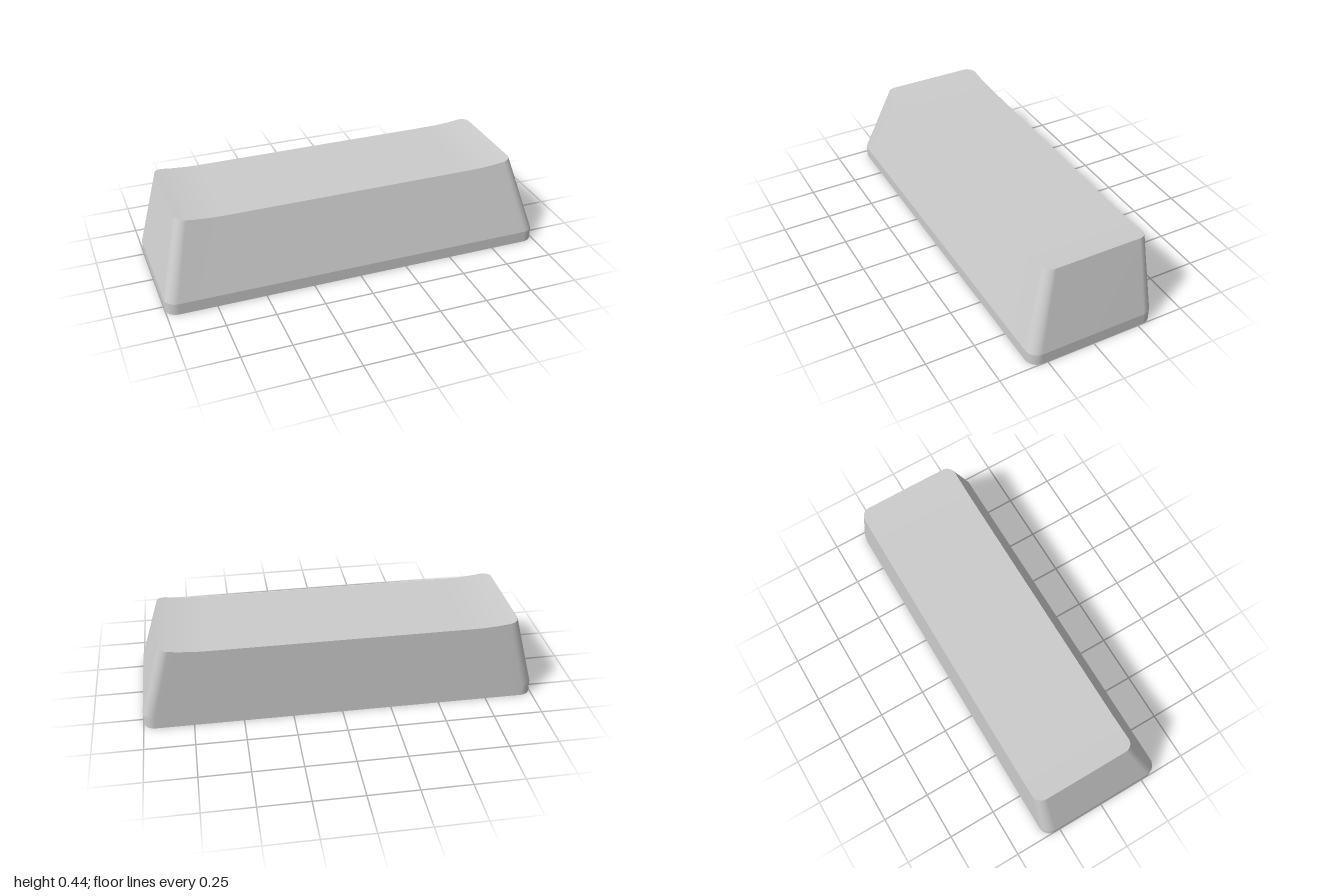
import * as THREE from 'three';
import { toCreasedNormals } from 'three/addons/utils/BufferGeometryUtils.js';

const CORNER = 8, STRAIGHT = 36;
const CHAIN = 2 * CORNER + STRAIGHT; // points per front or back half, minus one
const material = new THREE.MeshStandardMaterial({ color: 0xcccccc });

// Rounded rectangle: front half from -x to +x, then the back half returning
function ring(halfX, back, front, r, height) {
  const half = [];
  for (let i = 0; i <= CORNER; i++) {
    const a = (i / CORNER) * Math.PI / 2;
    half.push([-halfX + r - r * Math.cos(a), r - r * Math.sin(a)]);
  }
  for (let i = 1; i < STRAIGHT; i++) half.push([(halfX - r) * (2 * i / STRAIGHT - 1), 0]);
  for (let i = CORNER; i >= 0; i--) half.push([-half[i][0], half[i][1]]);
  const point = (x, z) => new THREE.Vector3(x, height(x), z);
  return [
    ...half.map(([x, inset]) => point(x, front - inset)),
    ...half.slice().reverse().map(([x, inset]) => point(x, back + inset)),
  ];
}

function surface(name, points, index) {
  const geometry = new THREE.BufferGeometry().setFromPoints(points);
  geometry.setIndex(index);
  geometry.computeVertexNormals();
  const mesh = new THREE.Mesh(geometry, material);
  mesh.name = name;
  return mesh;
}

// Closed band between two rings
function band(name, a, b) {
  const n = a.length, index = [];
  for (let i = 0; i < n; i++) {
    const j = (i + 1) % n;
    index.push(i, j, n + j, i, n + j, n + i);
  }
  return surface(name, [...a, ...b], index);
}

// Fill a ring with strips joining its front and back halves
function cap(name, points, facingDown) {
  const n = points.length, index = [];
  for (let i = 0; i < CHAIN; i++) {
    const f0 = i, f1 = i + 1, b0 = n - 1 - i, b1 = n - 2 - i;
    if (facingDown) index.push(f0, b1, f1, f0, b0, b1);
    else index.push(f0, f1, b1, f0, b1, b0);
  }
  return surface(name, points, index);
}

// Round post with a cross-shaped socket
function createStem(bottom, top, z) {
  const shape = new THREE.Shape().absarc(0, 0, 0.114, 0, Math.PI * 2, false);
  const l = 0.08, w = 0.024;
  const cross = [[l, -w], [l, w], [w, w], [w, l], [-w, l], [-w, w],
    [-l, w], [-l, -w], [-w, -w], [-w, -l], [w, -l], [w, -w]];
  shape.holes.push(new THREE.Path(cross.map(([x, y]) => new THREE.Vector2(x, y)).reverse()));
  const geometry = new THREE.ExtrudeGeometry(shape, { depth: top - bottom, bevelEnabled: false, curveSegments: 24 });
  geometry.rotateX(-Math.PI / 2);
  geometry.translate(0, bottom, z);
  const mesh = new THREE.Mesh(toCreasedNormals(geometry, 0.6), material);
  mesh.name = 'stem';
  return mesh;
}

export function createModel() {
  const group = new THREE.Group();
  group.name = 'keycap';
  const flat = (y) => () => y;
  // Top is level in the middle and sweeps up towards both ends
  const dish = (x) => 0.425 + 0.02 * (Math.max(0, Math.abs(x) - 0.65) / 0.245) ** 2;

  const base = ring(1, -0.337, 0.337, 0.06, flat(0));
  const skirt = ring(1, -0.337, 0.337, 0.06, flat(0.06));
  const crown = ring(0.895, -0.337, 0.21, 0.05, dish);
  const innerBase = ring(0.96, -0.297, 0.297, 0.025, flat(0));
  const innerTop = ring(0.87, -0.297, 0.185, 0.025, flat(0.385));

  group.add(
    band('skirt', base, skirt),
    band('outerWalls', skirt, crown),
    cap('topFace', crown, false),
    band('bottomRim', innerBase, base),
    band('innerWalls', innerTop, innerBase),
    cap('ceiling', innerTop, true),
    createStem(0.03, 0.386, -0.063),
  );
  return group;
}
